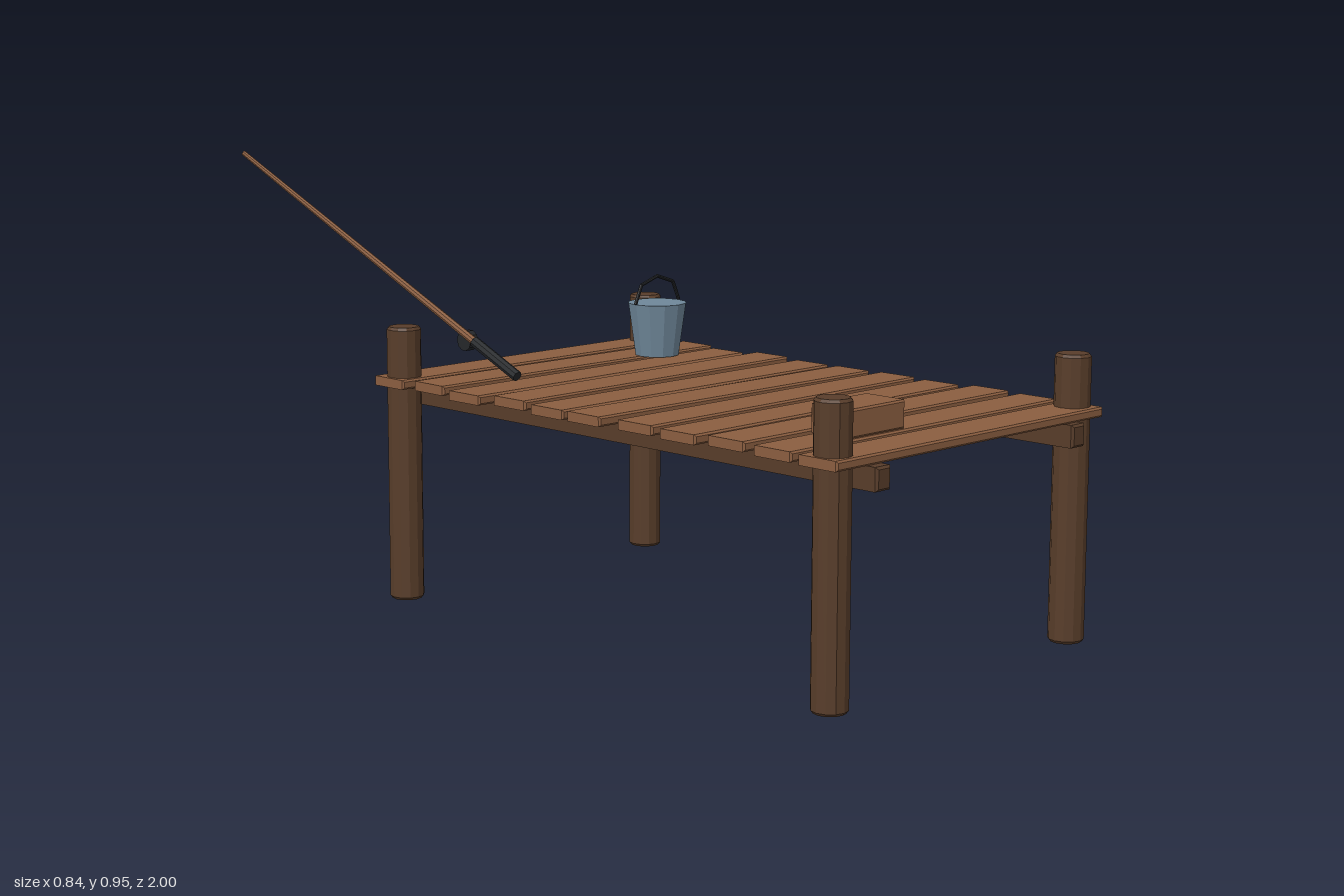
import * as THREE from 'three';

const mat = (name, color) => Object.assign(new THREE.MeshStandardMaterial({ color, flatShading: true }), { name });

export function createModel() {
  const plankWood = mat('plankWood', 0x8b5e40);
  const postWood = mat('postWood', 0x583d2a);
  const metal = mat('bucketMetal', 0x6f8799);
  const black = mat('blackFittings', 0x25272a);
  const model = new THREE.Group();
  model.name = 'dock';

  const add = (name, geo, material, x = 0, y = 0, z = 0, parent = model) => {
    const mesh = new THREE.Mesh(geo, material);
    mesh.name = name;
    mesh.position.set(x, y, z);
    parent.add(mesh);
    return mesh;
  };

  // Box with small chamfers, centred on its origin
  const chamferBox = (w, h, d, b = 0.004) => {
    const x = w / 2 - b, y = h / 2 - b;
    const s = new THREE.Shape([[-x, -y], [x, -y], [x, y], [-x, y]].map(p => new THREE.Vector2(...p)));
    const g = new THREE.ExtrudeGeometry(s, {
      depth: d - 2 * b, bevelEnabled: true, bevelSize: b, bevelThickness: b, bevelSegments: 1,
    });
    return g.translate(0, 0, -d / 2 + b);
  };

  // Tapered rod between two points
  const rodBetween = (name, a, b, ra, rb, material, parent) => {
    const dir = b.clone().sub(a);
    const mesh = add(name, new THREE.CylinderGeometry(rb, ra, dir.length(), 8), material, 0, 0, 0, parent);
    mesh.position.copy(a).add(b).multiplyScalar(0.5);
    mesh.quaternion.setFromUnitVectors(new THREE.Vector3(0, 1, 0), dir.normalize());
    return mesh;
  };

  // Corner posts with chamfered ends
  const postProfile = [[0, 0], [0.033, 0], [0.038, 0.006], [0.038, 0.604], [0.033, 0.61], [0, 0.61]]
    .map(p => new THREE.Vector2(...p));
  for (const x of [-0.374, 0.372]) {
    for (const z of [-0.318, 0.932]) add('post', new THREE.LatheGeometry(postProfile, 12), postWood, x, 0, z);
  }

  // Long beams under the deck
  for (const x of [-0.305, 0.305]) add('beam', chamferBox(0.042, 0.048, 1.385, 0.005), postWood, x, 0.454, 0.308);

  // Deck planks: sideways offset, small yaw and height change for each
  const planks = [
    [-0.007, -0.006, 0], [0.004, -0.014, 0.001], [-0.013, 0.008, -0.001], [0.003, 0.01, 0.002],
    [-0.002, 0, -0.001], [-0.012, -0.012, 0.002], [0.003, 0.008, 0], [-0.001, 0.004, -0.001],
    [0.008, -0.004, 0.001], [0.006, -0.006, -0.001], [-0.005, -0.008, 0],
  ];
  planks.forEach(([x, yaw, dy], i) => {
    const p = add('plank', chamferBox(0.822, 0.021, 0.1), plankWood, x, 0.489 + dy, -0.317 + i * 0.125);
    p.rotation.y = yaw;
  });

  // Small wooden box
  add('box', chamferBox(0.163, 0.058, 0.105), plankWood, -0.154, 0.529, 0.804);

  // Bucket with wire handle
  const bucket = new THREE.Group();
  bucket.name = 'bucket';
  bucket.position.set(0.234, 0.5, -0.14);
  model.add(bucket);
  add('bucketBody', new THREE.CylinderGeometry(0.068, 0.051, 0.121, 12), metal, 0, 0.0605, 0, bucket);
  const handle = [[-0.07, 0.122], [-0.051, 0.165], [0, 0.182], [0.051, 0.165], [0.07, 0.122]]
    .map(([x, y]) => new THREE.Vector3(x, y, 0));
  for (let i = 0; i < 4; i++) rodBetween('bucketHandle', handle[i], handle[i + 1], 0.004, 0.004, black, bucket);

  // Fishing rod: grip, pole and reel
  const rod = new THREE.Group();
  rod.name = 'fishingRod';
  model.add(rod);
  const base = new THREE.Vector3(-0.253, 0.512, -0.082);
  const tip = new THREE.Vector3(-0.293, 0.943, -0.998);
  const gripEnd = base.clone().lerp(tip, 0.145);
  rodBetween('rodGrip', base, gripEnd, 0.012, 0.012, black, rod);
  rodBetween('rodPole', gripEnd, tip, 0.009, 0.006, plankWood, rod);
  const reel = add('reel', new THREE.CylinderGeometry(0.023, 0.023, 0.022, 10), black, -0.238, 0.57, -0.262, rod);
  reel.rotation.z = Math.PI / 2;
  rodBetween('reelArm', new THREE.Vector3(-0.252, 0.568, -0.205), new THREE.Vector3(-0.242, 0.57, -0.255), 0.006, 0.006, black, rod);

  return model;
}
